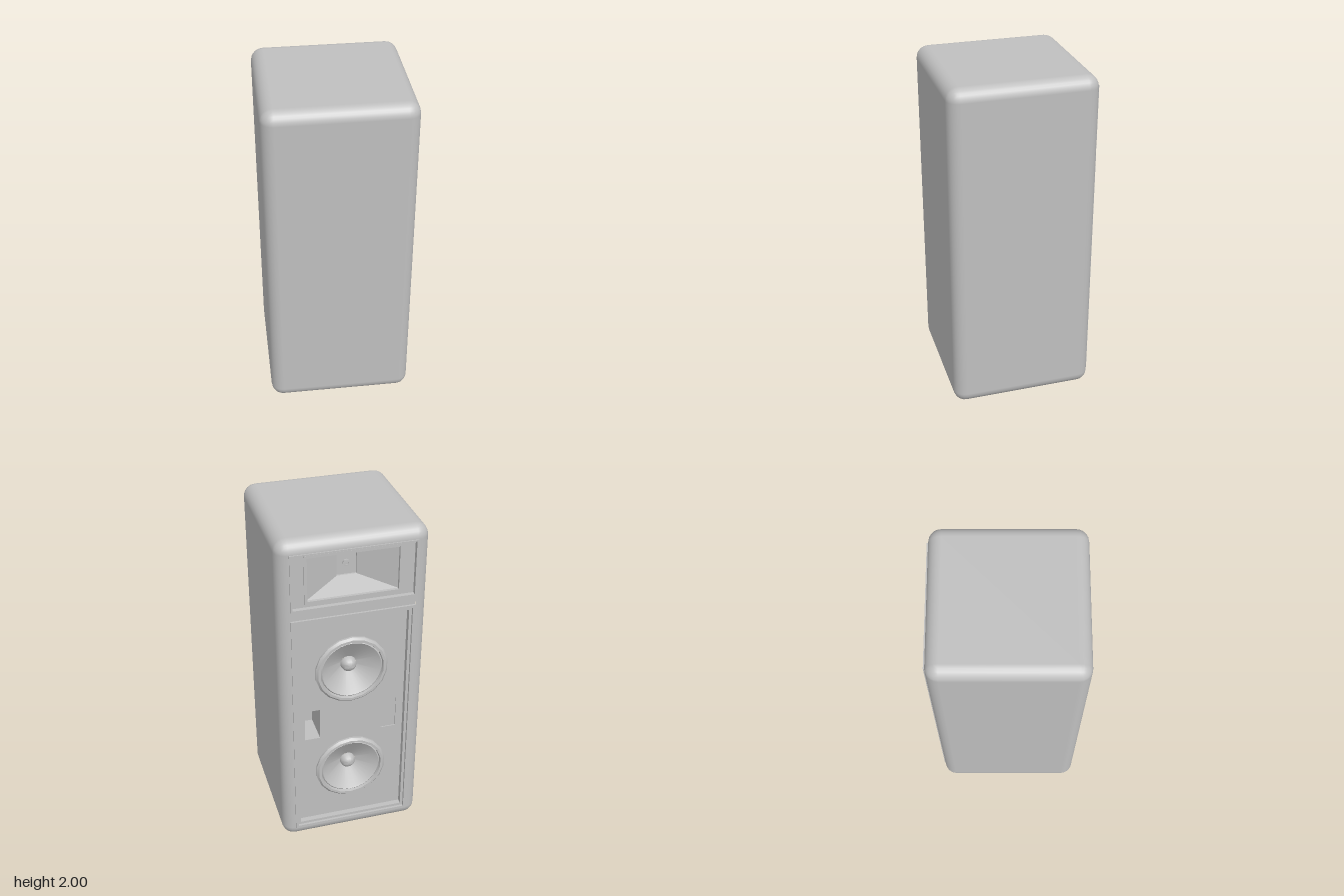
import * as THREE from 'three';
import { RoundedBoxGeometry } from 'three/addons/geometries/RoundedBoxGeometry.js';
import { toCreasedNormals } from 'three/addons/utils/BufferGeometryUtils.js';

const grey = new THREE.MeshStandardMaterial({ color: 0xbfbfbf });
grey.name = 'cabinet grey';

const BACK = -0.42; // outermost plane of the driver side, which faces -z

function add(parent, name, geometry, x = 0, y = 0, z = 0) {
  const mesh = new THREE.Mesh(geometry, grey);
  mesh.name = name;
  mesh.position.set(x, y, z);
  parent.add(mesh);
  return mesh;
}

// Rectangle outline from half width and heights
function rect(target, hw, y0, y1, x = 0) {
  target.moveTo(x - hw, y0);
  target.lineTo(x + hw, y0);
  target.lineTo(x + hw, y1);
  target.lineTo(x - hw, y1);
  target.closePath();
  return target;
}

// Upright plate with holes; recess is its distance behind the outermost plane
function plate(shape, holes, depth) {
  shape.holes.push(...holes);
  return new THREE.ExtrudeGeometry(shape, { depth, bevelEnabled: false, curveSegments: 10 });
}

// Inward-facing rectangular funnel through sections [half width, half height, recess]
function funnel(sections) {
  const corners = ([hw, hh, d]) => [[hw, -hh, d], [-hw, -hh, d], [-hw, hh, d], [hw, hh, d]];
  const position = [];
  for (let i = 0; i < sections.length - 1; i++) {
    const p = corners(sections[i]);
    const q = corners(sections[i + 1]);
    for (let k = 0; k < 4; k++) {
      const n = (k + 1) % 4;
      position.push(...p[k], ...p[n], ...q[n], ...p[k], ...q[n], ...q[k]);
    }
  }
  const g = new THREE.BufferGeometry();
  g.setAttribute('position', new THREE.Float32BufferAttribute(position, 3));
  g.computeVertexNormals();
  return g;
}

function lathe(points, sides, crease) {
  const g = new THREE.LatheGeometry(points.map(([r, h]) => new THREE.Vector2(r, h)), sides);
  return toCreasedNormals(g, crease);
}

// Rounded cabinet with the flat centre of its back left open
function cabinetGeometry() {
  const box = new RoundedBoxGeometry(0.83, 1.96, 0.83, 3, 0.07);
  const src = box.index ? box.toNonIndexed() : box;
  const pos = src.attributes.position;
  const nor = src.attributes.normal;
  const position = [], normal = [];
  for (let i = 0; i < pos.count; i += 3) {
    if ([0, 1, 2].every((k) => pos.getZ(i + k) < -0.4149)) continue;
    for (let k = i; k < i + 3; k++) {
      position.push(pos.getX(k), pos.getY(k), pos.getZ(k));
      normal.push(nor.getX(k), nor.getY(k), nor.getZ(k));
    }
  }
  const g = new THREE.BufferGeometry();
  g.setAttribute('position', new THREE.Float32BufferAttribute(position, 3));
  g.setAttribute('normal', new THREE.Float32BufferAttribute(normal, 3));
  return g;
}

export function createModel() {
  const model = new THREE.Group();
  model.name = 'loudspeaker';
  add(model, 'cabinet', cabinetGeometry(), 0, 1.02, 0.002);

  // Stepped frames around the woofer bay and the horn bay
  const frames = [
    ['wooferFrame', 0.345, 0.11, 1.545, [0.328, 0.127, 1.528], 0, 0.02],
    ['wooferInnerFrame', 0.335, 0.12, 1.535, [0.312, 0.143, 1.512], 0.014, 0.04],
    ['hornFrame', 0.345, 1.565, 1.93, [0.334, 1.612, 1.922], 0, 0.03],
    ['hornPanel', 0.34, 1.57, 1.928, [0.266, 1.63, 1.912], 0.025, 0.02],
  ];
  for (const [name, hw, y0, y1, hole, recess, depth] of frames) {
    const g = plate(rect(new THREE.Shape(), hw, y0, y1), [rect(new THREE.Path(), ...hole)], depth);
    add(model, name, g, 0, 0, BACK + recess);
  }
  add(model, 'grooveFloor', new THREE.BoxGeometry(0.69, 0.04, 0.02), 0, 1.555, BACK + 0.022);

  // Horn: raised lip, flare and throat
  const hornY = 1.771;
  const lip = plate(rect(new THREE.Shape(), 0.266, 1.63, 1.912), [rect(new THREE.Path(), 0.25, 1.646, 1.896)], 0.02);
  add(model, 'hornLip', lip, 0, 0, BACK + 0.018);
  add(model, 'hornFlare', funnel([
    [0.25, 0.125, 0.035], [0.055, 0.068, 0.15], [0.055, 0.068, 0.16], [0, 0, 0.16],
  ]), 0, hornY, BACK);
  const driver = lathe([[0.02, 0], [0.02, 0.008], [0.013, 0.008], [0.013, 0.003], [0, 0.006]], 12, 0.6);
  driver.rotateX(-Math.PI / 2);
  add(model, 'hornDriver', driver, 0, hornY, BACK + 0.16);

  // Baffle with two woofers and two rectangular ports
  const baffleZ = BACK + 0.045;
  const wooferYs = [0.487, 1.17];
  const portX = 0.225, portY = 0.825, portW = 0.044, portH = 0.098;
  const holes = wooferYs.map((y) => new THREE.Path().absarc(0, y, 0.185, 0, Math.PI * 2));
  holes.push(rect(new THREE.Path(), portW, portY - portH, portY + portH, portX));
  holes.push(rect(new THREE.Path(), portW, portY - portH, portY + portH, -portX));
  add(model, 'baffle', plate(rect(new THREE.Shape(), 0.33, 0.125, 1.53), holes, 0.01), 0, 0, baffleZ);

  const rim = [[0.208, 0], [0.208, 0.012], [0.196, 0.024], [0.182, 0.024], [0.178, 0.006]];
  const cone = [[0.178, 0.006], [0.17, 0.013], [0.16, 0.006], [0.045, -0.06]];
  const cap = [[0.045, -0.06], [0.041, -0.037], [0.028, -0.022], [0.014, -0.016], [0, -0.014]];
  for (const y of wooferYs) {
    const woofer = new THREE.Group();
    woofer.name = 'woofer';
    woofer.position.set(0, y, baffleZ);
    woofer.rotation.x = -Math.PI / 2;
    add(woofer, 'wooferRim', lathe(rim, 18, 0.5));
    add(woofer, 'wooferCone', lathe(cone, 32, 0.6));
    add(woofer, 'dustCap', lathe(cap, 20, 0.9));
    model.add(woofer);
  }

  // One port is a deep duct, the other is nearly flush
  for (const [x, depth] of [[portX, 0.18], [-portX, 0.006]]) {
    const duct = funnel([[portW, portH, 0], [portW, portH, depth], [0, 0, depth]]);
    add(model, 'port', duct, x, portY, baffleZ);
  }

  // Hollow feet
  const foot = lathe([[0, 0.014], [0.021, 0.014], [0.021, 0], [0.034, 0], [0.039, 0.006], [0.039, 0.05]], 10, 0.7);
  for (const x of [-0.272, 0.272]) {
    for (const z of [-0.21, 0.272]) add(model, 'foot', foot, x, 0, z);
  }
  return model;
}
